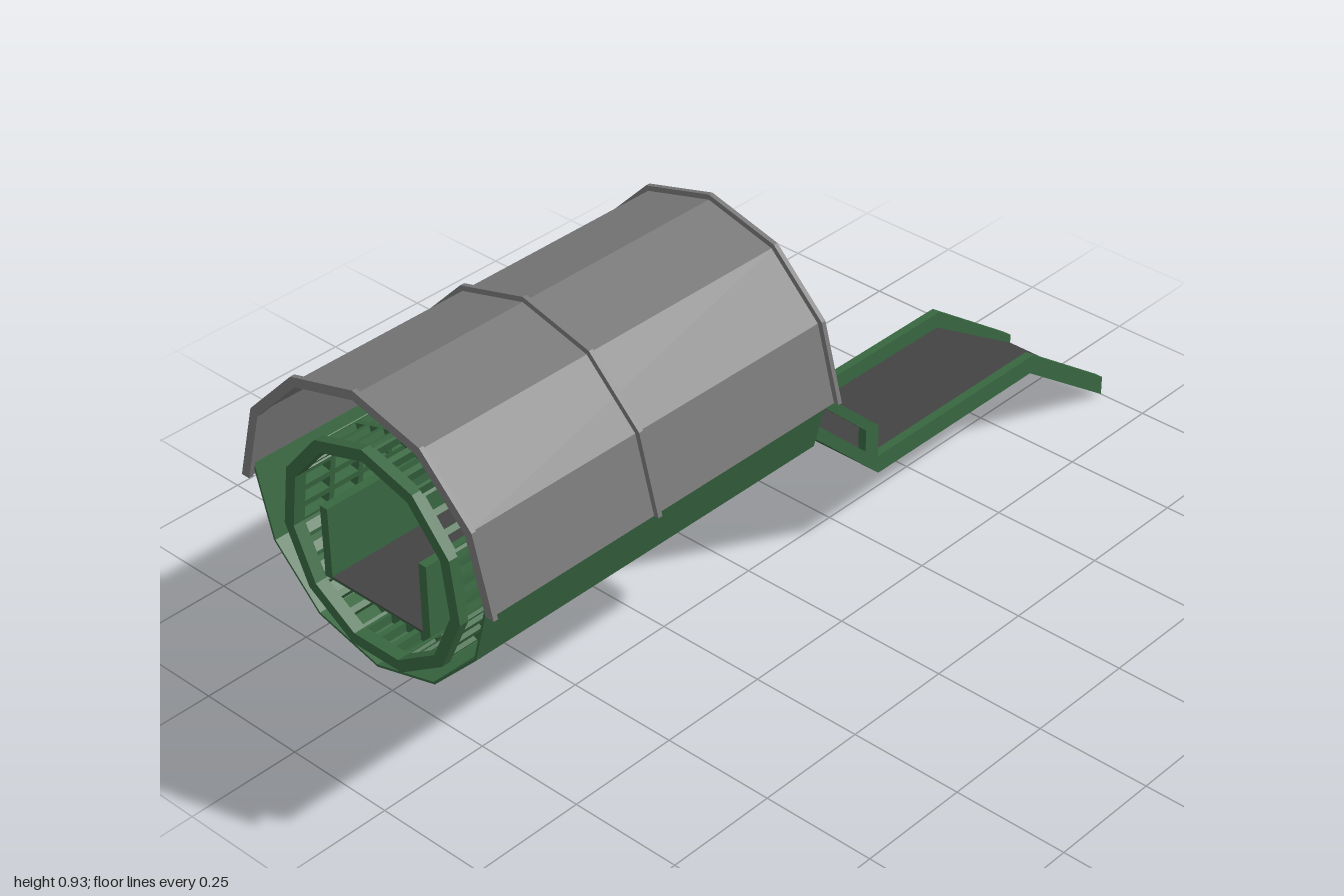
import * as THREE from 'three';

const mat = (name, color) => {
  const m = new THREE.MeshStandardMaterial({ color, side: THREE.DoubleSide });
  m.name = name;
  return m;
};

export function createModel() {
  const model = new THREE.Group();
  const green = mat('green paint', 0x386640);
  const grey = mat('grey cover', 0x787878);
  const dark = mat('dark belt', 0x434343);

  const add = (name, geometry, material, parent = model) => {
    const mesh = new THREE.Mesh(geometry, material);
    mesh.name = name;
    parent.add(mesh);
    return mesh;
  };
  const extrude = (shape, depth) => new THREE.ExtrudeGeometry(shape, { depth, bevelEnabled: false });
  const poly = pts => pts.map(([x, y]) => new THREE.Vector2(x, y));

  // Corner points of a faceted arc, angle measured from straight up
  const arc = (r, a0, a1, n) => Array.from({ length: n + 1 }, (_, i) => {
    const a = a0 + (a1 - a0) * i / n;
    return new THREE.Vector2(Math.sin(a) * r, Math.cos(a) * r);
  });
  // Faceted half shell running along x
  const band = (name, rIn, rOut, a0, a1, n, x0, x1, y, material) => {
    const shape = new THREE.Shape([...arc(rOut, a0, a1, n), ...arc(rIn, a0, a1, n).reverse()]);
    const mesh = add(name, extrude(shape, x1 - x0), material);
    mesh.rotation.y = Math.PI / 2;
    mesh.position.set(x0, y, 0);
  };

  // Cover with three ribs, and the catch tray below
  const h = Math.PI / 2;
  band('coverShell', 0.309, 0.314, -h, h, 6, -0.997, -0.103, 0.605, grey);
  for (const x of [-1, -0.595, -0.11]) band('coverRib', 0.305, 0.325, -h, h, 6, x, x + 0.01, 0.605, grey);
  band('lowerTray', 0.299, 0.304, h, 3 * h, 6, -0.99, -0.107, 0.635, green);

  // Eleven-sided sieve drum: end rings and slotted panels
  const drum = new THREE.Group();
  drum.name = 'sieveDrum';
  drum.position.y = 0.573;
  model.add(drum);
  const sides = 11, R = 0.23, rIn = 0.205, x0 = -0.99, x1 = -0.107;
  const ringShape = new THREE.Shape(arc(R, 0, 2 * Math.PI, sides).slice(0, sides));
  ringShape.holes.push(new THREE.Path(arc(rIn, 0, 2 * Math.PI, sides).slice(0, sides)));
  const ringGeo = extrude(ringShape, 0.02);
  for (const x of [x0, x1 - 0.02]) {
    const ring = add('drumRing', ringGeo, green, drum);
    ring.rotation.y = Math.PI / 2;
    ring.position.x = x;
  }
  const half = Math.PI / sides, len = x1 - x0 - 0.04, w = 2 * rIn * Math.sin(half);
  const panel = new THREE.Shape(poly([[0, -w / 2], [len, -w / 2], [len, w / 2], [0, w / 2]]));
  const cols = 12, rows = 3, bar = 0.012;
  for (let i = 0; i < cols; i++) for (let j = 0; j < rows; j++) {
    const a = len * i / cols + bar / 2, b = len * (i + 1) / cols - bar / 2;
    const c = -w / 2 + w * j / rows + bar / 2, d = -w / 2 + w * (j + 1) / rows - bar / 2;
    panel.holes.push(new THREE.Path(poly([[a, c], [a, d], [b, d], [b, c]])));
  }
  const panelGeo = extrude(panel, 0.02);
  panelGeo.translate(x0 + 0.02, 0, rIn * Math.cos(half));
  for (let i = 0; i < sides; i++) {
    add('drumPanel', panelGeo, green, drum).rotation.x = -h + (2 * i + 1) * half;
  }

  // Chute: side walls with a slot, running from inside the drum to the ground
  const start = -0.98;
  const bottom = [[start, 0.461], [-0.06, 0.461], [0.24, 0.183], [0.735, 0.183], [1, 0]];
  const top = [[1, 0.045], [0.742, 0.225], [0.237, 0.225], [0.237, 0.3], [0, 0.518], [-0.06, 0.615], [start, 0.615]];
  const wall = new THREE.Shape(poly([...bottom, ...top]));
  wall.holes.push(new THREE.Path(poly([[0.01, 0.43], [0.01, 0.48], [0.198, 0.307], [0.198, 0.256]])));
  const wallGeo = extrude(wall, 0.019);
  for (const z of [0.118, -0.137]) add('chuteWall', wallGeo, green).position.z = z;

  // Chute base plate with the belt surface on top
  const lift = dy => bottom.map(([x, y], i) => [x, y + dy + (i === 4 ? 0.018 : 0)]);
  const slab = (name, lower, upper, material) => {
    const mesh = add(name, extrude(new THREE.Shape(poly([...lower, ...upper.reverse()])), 0.236), material);
    mesh.position.z = -0.118;
  };
  slab('chuteBase', bottom, lift(0.003), green);
  slab('chuteBelt', lift(0.003), lift(0.006), dark);

  return model;
}
